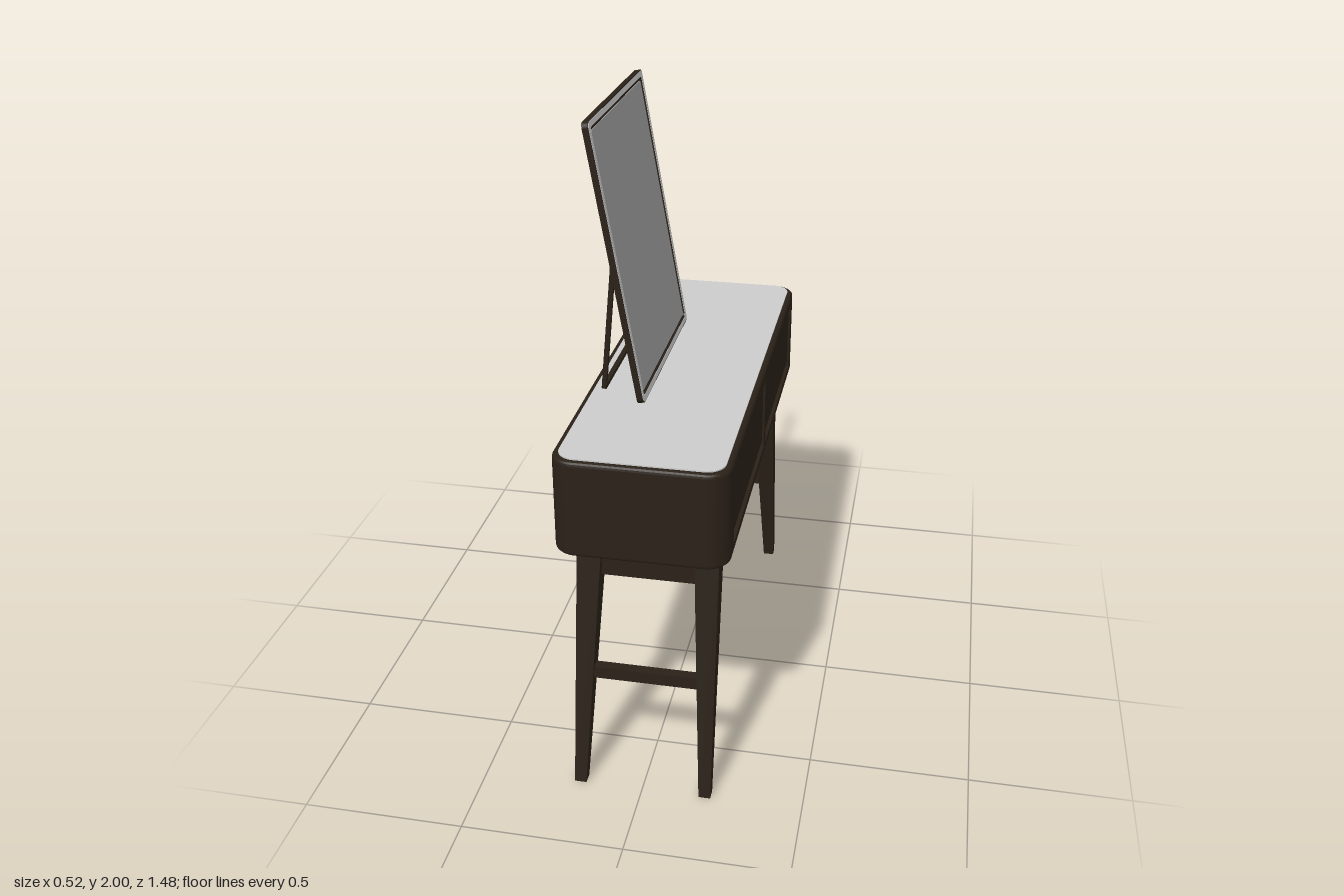
import * as THREE from 'three';

const paint = (color) => new THREE.MeshStandardMaterial({ color });
const wood = paint(0x2a2118);
const black = paint(0x15110d);
const pale = paint(0xcccccc);
const glass = paint(0xa0a0a0);

function add(parent, name, geometry, material) {
  const mesh = new THREE.Mesh(geometry, material);
  mesh.name = name;
  parent.add(mesh);
  return mesh;
}

// Box given by its minimum and maximum on each axis
function box(parent, name, material, [x0, x1], [y0, y1], [z0, z1]) {
  const mesh = add(parent, name, new THREE.BoxGeometry(x1 - x0, y1 - y0, z1 - z0), material);
  mesh.position.set((x0 + x1) / 2, (y0 + y1) / 2, (z0 + z1) / 2);
  return mesh;
}

// Rounded rectangle by half sizes; a notch (half length, depth) may be cut in its +x side
function roundedRect(a, b, r, notch, Type = THREE.Shape) {
  const s = new Type();
  s.moveTo(-a + r, -b);
  s.lineTo(a - r, -b);
  s.absarc(a - r, -b + r, r, -Math.PI / 2, 0);
  if (notch) {
    s.lineTo(a, -notch[0]);
    s.lineTo(a - notch[1], -notch[0]);
    s.lineTo(a - notch[1], notch[0]);
    s.lineTo(a, notch[0]);
  }
  s.absarc(a - r, b - r, r, 0, Math.PI / 2);
  s.absarc(-a + r, b - r, r, Math.PI / 2, Math.PI);
  s.absarc(-a + r, -b + r, r, Math.PI, Math.PI * 1.5);
  return s;
}

// Horizontal slab from y0 to y1, with an optional bevel inside that height
function slab(shape, y0, y1, bevel = 0) {
  return new THREE.ExtrudeGeometry(shape, {
    depth: y1 - y0 - 2 * bevel, curveSegments: 8, bevelEnabled: bevel > 0,
    bevelSize: bevel, bevelThickness: bevel, bevelOffset: -bevel, bevelSegments: 3,
  }).rotateX(-Math.PI / 2).translate(0, y0 + bevel, 0);
}

// Upright sheet facing +x, from x0 to x1
function sheet(shape, x0, x1) {
  return new THREE.ExtrudeGeometry(shape, { depth: x1 - x0, bevelEnabled: false, curveSegments: 6 })
    .rotateY(Math.PI / 2).translate(x0, 0, 0);
}

// Splayed, tapering leg
function legGeometry(sx, sz) {
  const g = new THREE.BoxGeometry(1, 1, 1);
  const p = g.attributes.position;
  const mix = THREE.MathUtils.lerp;
  for (let i = 0; i < p.count; i++) {
    const t = p.getY(i) + 0.5;
    p.setXYZ(i,
      sx * mix(0.1975, 0.1775, t) + p.getX(i) * mix(0.037, 0.077, t),
      t * 0.83,
      sz * mix(0.72, 0.568, t) + p.getZ(i) * mix(0.036, 0.08, t));
  }
  g.computeVertexNormals();
  return g;
}

function buildCabinet() {
  const g = new THREE.Group();
  g.name = 'cabinet';
  add(g, 'carcass', slab(roundedRect(0.26, 0.738, 0.07, [0.63, 0.045]), 0.842, 1.125), wood);
  add(g, 'bottomEdge', slab(roundedRect(0.26, 0.738, 0.07), 0.83, 0.856, 0.012), wood);
  add(g, 'topEdge', slab(roundedRect(0.26, 0.738, 0.07), 1.112, 1.138, 0.012), wood);
  add(g, 'topPanel', slab(roundedRect(0.242, 0.72, 0.055), 1.13, 1.142), pale);

  // Rails and divider around the drawer openings
  const depth = [0.2, 0.26];
  box(g, 'lowerRail', wood, depth, [0.842, 0.865], [-0.63, 0.63]);
  box(g, 'upperRail', wood, depth, [1.1, 1.125], [-0.63, 0.63]);
  box(g, 'divider', wood, depth, [0.865, 1.1], [-0.015, 0.015]);

  // Drawer fronts with a pale strip set back in the finger gap
  for (const s of [-1, 1]) {
    const span = (a, b) => (s > 0 ? [a, b] : [-b, -a]);
    box(g, 'drawerShadowGap', black, [0.21, 0.225], [0.865, 1.1], span(0.015, 0.63));
    box(g, 'drawerFront', wood, [0.22, 0.254], [0.886, 1.095], span(0.021, 0.625));
    box(g, 'drawerPull', pale, [0.22, 0.238], [0.865, 0.886], span(0.032, 0.612));
  }
  return g;
}

function buildLegFrame(s) {
  const g = new THREE.Group();
  g.name = 'legFrame';
  for (const sx of [-1, 1]) add(g, 'leg', legGeometry(sx, s), wood);
  const across = (name, halfX, y0, y1, z, halfZ) =>
    box(g, name, wood, [-halfX, halfX], [y0, y1], [s * z - halfZ, s * z + halfZ]);
  across('mountingPlate', 0.24, 0.815, 0.832, 0.569, 0.038);
  across('upperStretcher', 0.15, 0.69, 0.77, 0.586, 0.014);
  across('lowerStretcher', 0.165, 0.355, 0.395, 0.651, 0.016);
  return g;
}

function buildMirror() {
  const g = new THREE.Group();
  g.name = 'mirror';
  const ring = roundedRect(0.345, 0.435, 0.018);
  ring.holes.push(roundedRect(0.322, 0.412, 0.012, null, THREE.Path));
  add(g, 'mirrorBack', sheet(roundedRect(0.345, 0.435, 0.018), -0.01, 0.004), wood);
  add(g, 'mirrorFrameEdge', sheet(ring, 0.004, 0.009), wood);
  const face = roundedRect(0.342, 0.432, 0.016);
  face.holes.push(roundedRect(0.325, 0.415, 0.014, null, THREE.Path));
  add(g, 'mirrorFrameFace', sheet(face, 0.009, 0.01), pale);
  add(g, 'mirrorGlass', sheet(roundedRect(0.314, 0.404, 0.008), 0.004, 0.007), glass);
  g.position.set(-0.15, 1.57, 0);
  g.rotation.z = 0.173;
  return g;
}

// Rectangular prop hinged behind the mirror
function buildStand() {
  const g = new THREE.Group();
  g.name = 'mirrorStand';
  const frame = roundedRect(0.265, 0.22, 0.012);
  frame.holes.push(roundedRect(0.249, 0.204, 0.006, null, THREE.Path));
  add(g, 'standFrame', sheet(frame, -0.007, 0.007), wood);
  g.position.set(-0.191, 1.361, 0);
  g.rotation.z = -0.09;
  return g;
}

export function createModel() {
  const model = new THREE.Group();
  model.name = 'dressingTable';
  model.add(buildCabinet(), buildLegFrame(1), buildLegFrame(-1), buildMirror(), buildStand());
  return model;
}
